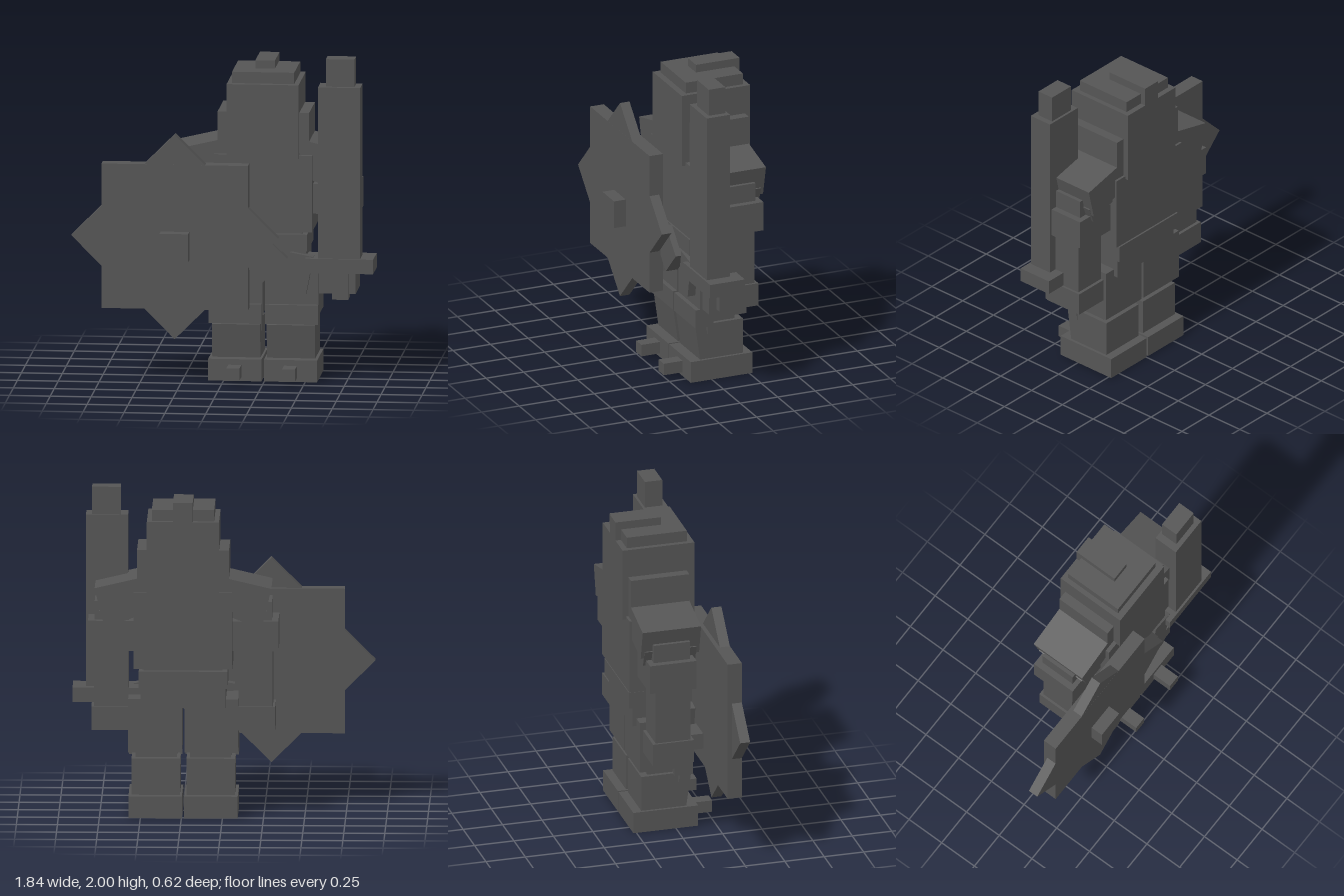
import * as THREE from 'three';

export function createModel() {
  const model = new THREE.Group();
  const grey = new THREE.MeshStandardMaterial({ color: 0x555555 });
  grey.name = 'dark grey';
  const CX = 0.24; // the body's own mid-line

  // Box given by its extents, optionally turned about its centre
  function box(name, x0, x1, y0, y1, z0, z1, rz = 0, rx = 0) {
    const mesh = new THREE.Mesh(new THREE.BoxGeometry(x1 - x0, y1 - y0, z1 - z0), grey);
    mesh.position.set((x0 + x1) / 2, (y0 + y1) / 2, (z0 + z1) / 2);
    mesh.rotation.set(rx, 0, rz);
    mesh.name = name;
    model.add(mesh);
  }

  // The same box on both sides of the body, x measured from the mid-line
  function pair(name, x0, x1, y0, y1, z0, z1, rz = 0, rx = 0) {
    box('left' + name, CX + x0, CX + x1, y0, y1, z0, z1, rz, rx);
    box('right' + name, CX - x1, CX - x0, y0, y1, z0, z1, -rz, rx);
  }

  // Head and helmet
  box('head', 0.02, 0.46, 1.38, 1.84, -0.305, 0.15);
  box('helmetCap', 0.05, 0.43, 1.84, 1.91, -0.27, 0.11);
  box('helmetCrest', 0.18, 0.3, 1.84, 1.96, -0.305, -0.015);
  box('helmetSides', -0.04, 0.52, 1.41, 1.66, -0.27, 0.1);

  // Trunk
  box('torso', -0.06, 0.54, 0.925, 1.4, -0.285, 0.125);
  box('waist', 0, 0.48, 0.78, 0.95, -0.24, 0.09);
  box('belt', -0.03, 0.51, 0.805, 0.91, -0.28, 0.12);
  box('hips', -0.02, 0.5, 0.68, 0.805, -0.255, 0.09);
  box('buckle', CX - 0.107, CX + 0.107, 0.658, 0.872, 0.08, 0.16, Math.PI / 4);
  pair('SkirtPlate', 0.143, 0.287, 0.55, 0.79, 0.06, 0.13, -0.19);

  // Arms
  pair('Pauldron', 0.215, 0.52, 1.265, 1.46, -0.27, 0.1, -0.23);
  pair('ShoulderGuard', 0.25, 0.5, 1.215, 1.325, -0.25, 0.08, -0.35);
  pair('UpperArm', 0.3, 0.58, 1.03, 1.215, -0.235, 0.06);
  pair('ArmJoint', 0.33, 0.54, 1.2, 1.33, -0.2, 0.03);
  pair('Forearm', 0.335, 0.545, 0.66, 1.05, -0.19, 0.03);
  pair('Hand', 0.32, 0.56, 0.535, 0.68, -0.21, 0.05);

  // Legs
  pair('Thigh', 0.008, 0.335, 0.4, 0.73, -0.23, 0.08);
  pair('KneePad', 0.01, 0.335, 0.35, 0.47, -0.01, 0.108);
  pair('Shin', 0.02, 0.315, 0.13, 0.36, -0.215, 0.02);
  pair('ShinPlate', 0.02, 0.315, 0.13, 0.35, 0.015, 0.085, 0, 0.14);
  pair('Knee', 0.04, 0.29, 0.33, 0.42, -0.17, 0.0);
  pair('Foot', 0.007, 0.333, 0, 0.135, -0.27, 0.14);
  pair('ToeSpike', 0.13, 0.21, 0.025, 0.1, 0.14, 0.265);

  // Eight-pointed shield
  box('shieldPlate', -0.737, 0.159, 0.455, 1.35, 0.142, 0.232);
  box('shieldPoints', -0.737, 0.159, 0.455, 1.35, 0.168, 0.2315, Math.PI / 4);
  box('shieldBoss', -0.375, -0.2, 0.76, 0.935, 0.23, 0.31);
  box('shieldGrip', -0.2, -0.04, 0.56, 0.66, 0.04, 0.15);

  // Sword held upright
  box('swordBlade', 0.58, 0.837, 0.77, 1.83, -0.005, 0.15);
  box('swordTip', 0.625, 0.8, 1.83, 2, 0.01, 0.12);
  box('swordGuard', 0.502, 0.918, 0.68, 0.77, -0.068, 0.163);
  box('swordGrip', 0.66, 0.76, 0.507, 0.68, 0, 0.1);

  return model;
}
